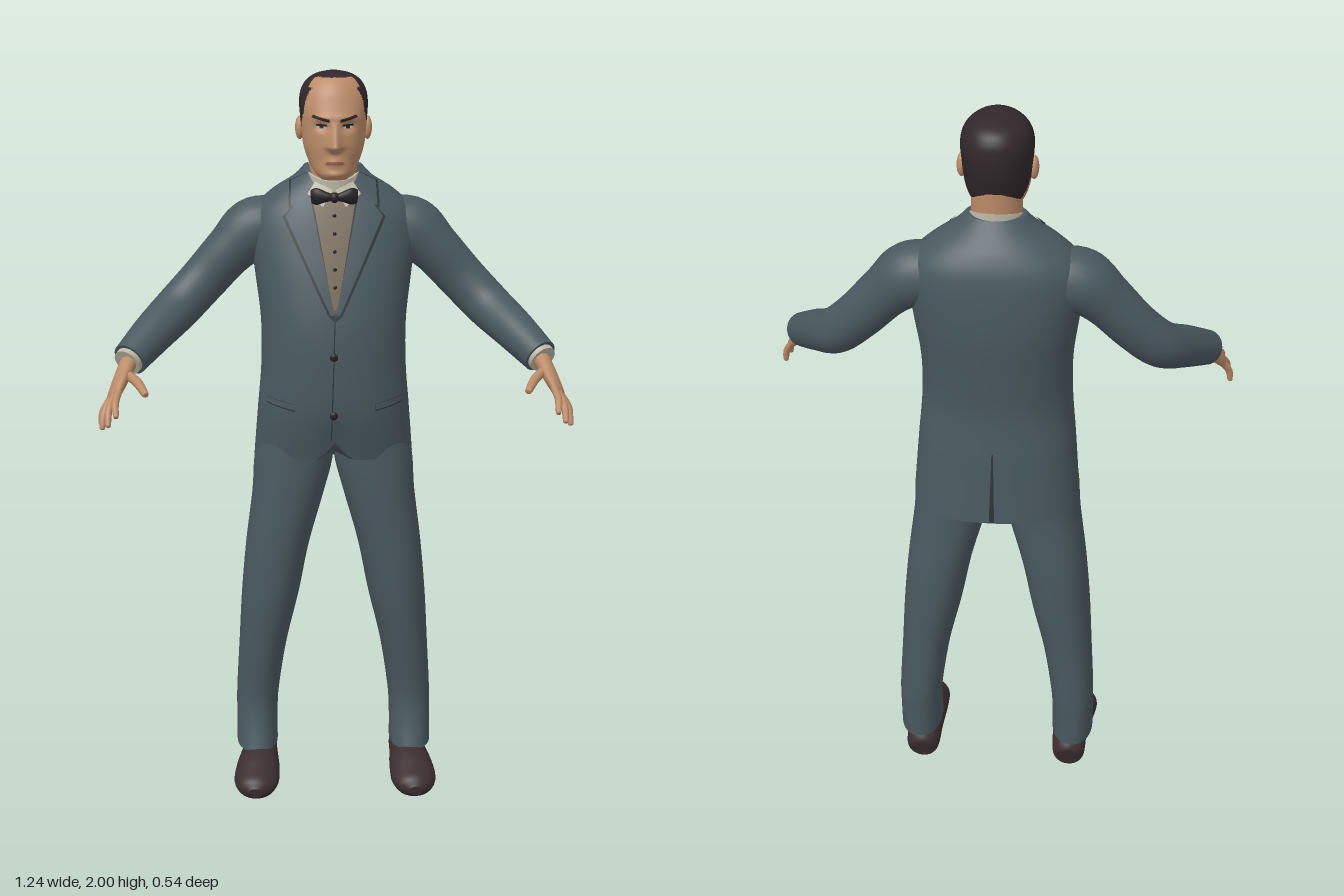
import * as THREE from 'three';

const V = (x, y, z) => new THREE.Vector3(x, y, z);
const mat = (name, color) => Object.assign(new THREE.MeshStandardMaterial({ color }), { name });
const M = {
  suit: mat('suit', 0x4a595f), seam: mat('dark seam', 0x2c363a), vest: mat('waistcoat', 0x756a58),
  shirt: mat('shirt', 0xbab5a4), skin: mat('skin', 0xbc8c69), hair: mat('hair', 0x30272a),
  shoe: mat('shoe', 0x3c2e2e), black: mat('black', 0x262124), lip: mat('lip', 0x8c5c49),
};

// Catmull-Rom interpolation of rows of numbers
function smooth(keys, n) {
  const out = [], m = keys.length - 1, at = i => keys[Math.min(m, Math.max(0, i))];
  for (let k = 0; k <= n; k++) {
    const i = Math.min(m - 1, Math.floor(k / n * m)), t = k / n * m - i;
    const [p, q, r, s] = [at(i - 1), at(i), at(i + 1), at(i + 2)];
    out.push(q.map((b, c) => b + 0.5 * t * (r[c] - p[c] +
      t * (2 * p[c] - 5 * b + 4 * r[c] - s[c] + t * (3 * (b - r[c]) + s[c] - p[c])))));
  }
  return out;
}

// Skin over rings of points, with flat caps at both ends
function loft(rings) {
  const n = rings[0].length, pos = [], idx = [];
  rings.forEach(r => r.forEach(p => pos.push(p.x, p.y, p.z)));
  for (let i = 0; i < rings.length - 1; i++) for (let j = 0; j < n; j++) {
    const a = i * n + j, b = i * n + (j + 1) % n;
    idx.push(a, b, a + n, b, b + n, a + n);
  }
  [rings[0], rings.at(-1)].forEach((r, end) => {
    const c = r.reduce((s, p) => s.add(p), V(0, 0, 0)).divideScalar(n), base = pos.length / 3;
    [c, ...r].forEach(p => pos.push(p.x, p.y, p.z));
    for (let j = 0; j < n; j++) {
      const a = base + 1 + j, b = base + 1 + (j + 1) % n;
      end ? idx.push(base, a, b) : idx.push(base, b, a);
    }
  });
  return finish(pos, idx);
}

function finish(pos, idx) {
  const g = new THREE.BufferGeometry();
  g.setAttribute('position', new THREE.Float32BufferAttribute(pos, 3));
  g.setIndex(idx);
  g.computeVertexNormals();
  return g;
}

const pw = (v, e) => Math.sign(v) * Math.abs(v) ** (2 / e);

// Upright body from rows [y, centreX, halfWidth, zFront, zBack, exponent]
function body(rows, seg, rule = p => p) {
  return loft(rows.map(([y, cx, hw, zf, zb, e]) => Array.from({ length: seg }, (_, j) => {
    const a = j / seg * Math.PI * 2;
    return rule(V(cx + hw * pw(Math.sin(a), e), y, (zf + zb) / 2 + (zf - zb) / 2 * pw(Math.cos(a), e)));
  })));
}

// Limb along a path from keys [x, y, z, radiusTowardsRef, radiusAcross]
function limb(keys, ref, n = 24, seg = 20, rule = p => p) {
  const rows = smooth(keys, n), P = rows.map(r => V(r[0], r[1], r[2]));
  return loft(rows.map((r, i) => {
    const t = P[Math.min(n, i + 1)].clone().sub(P[Math.max(0, i - 1)]).normalize();
    const u = ref.clone().addScaledVector(t, -t.dot(ref)).normalize(), v = t.clone().cross(u);
    return Array.from({ length: seg }, (_, j) => {
      const a = j / seg * Math.PI * 2;
      return rule(P[i].clone().addScaledVector(u, Math.max(0.001, r[3]) * Math.cos(a))
        .addScaledVector(v, Math.max(0.001, r[4]) * Math.sin(a)));
    });
  }));
}

// Depth of a body's front (side 1) or back (side -1) surface
function depth(rows, x, y, side) {
  let i = rows.findIndex(r => r[0] > y);
  i = i < 0 ? rows.length - 1 : Math.max(1, i);
  const a = rows[i - 1], b = rows[i], t = THREE.MathUtils.clamp((y - a[0]) / (b[0] - a[0]), 0, 1);
  const [, cx, hw, zf, zb, e] = a.map((v, k) => v + (b[k] - v) * t);
  const f = Math.max(0, 1 - Math.min(1, Math.abs((x - cx) / hw)) ** e) ** (1 / e);
  return (zf + zb) / 2 + side * (zf - zb) / 2 * f;
}

// Thin four-cornered patch lying on a surface z = surf(x, y)
function patch(c, surf, off, side = 1, n = 10) {
  const pos = [], idx = [], mix = (a, b, t) => a + (b - a) * t;
  const area = c.reduce((s, p, i) => s + p[0] * c[(i + 1) % 4][1] - c[(i + 1) % 4][0] * p[1], 0);
  for (let i = 0; i <= n; i++) for (let j = 0; j <= n; j++) {
    const [x, y] = [0, 1].map(k => mix(mix(c[0][k], c[1][k], j / n), mix(c[3][k], c[2][k], j / n), i / n));
    pos.push(x, y, surf(x, y) + off * side);
    if (i < n && j < n) {
      const a = i * (n + 1) + j, b = a + 1, d = a + n + 1, e = d + 1;
      area * side > 0 ? idx.push(a, b, d, b, e, d) : idx.push(a, d, b, b, d, e);
    }
  }
  return finish(pos, idx);
}

function mirror(g) {
  const m = g.clone().scale(-1, 1, 1), ix = m.index.array;
  for (let i = 0; i < ix.length; i += 3) [ix[i], ix[i + 1]] = [ix[i + 1], ix[i]];
  m.computeVertexNormals();
  return m;
}

export function createModel() {
  const root = new THREE.Group();
  const add = (name, g, m) => { const o = new THREE.Mesh(g, m); o.name = name; root.add(o); return o; };
  const pair = (name, g, m) => { add(name + 'Left', g, m); add(name + 'Right', mirror(g), m); };
  const ball = (r, sx, sy, sz, x, y, z) => new THREE.SphereGeometry(r, 20, 14).scale(sx, sy, sz).translate(x, y, z);

  // Jacket, with a lower back hem and a small cut-away at the front
  const torso = smooth([
    [0.97, 0, 0.218, 0.035, -0.262, 2.4], [1.1, 0, 0.206, 0.064, -0.25, 2.4], [1.22, 0, 0.196, 0.071, -0.242, 2.3],
    [1.34, 0, 0.196, 0.066, -0.252, 2.3], [1.46, 0, 0.21, 0.042, -0.264, 2.3], [1.56, 0, 0.222, 0.012, -0.263, 2.3],
    [1.63, 0, 0.212, -0.012, -0.254, 2.3], [1.68, 0, 0.165, -0.032, -0.232, 2.2], [1.72, 0, 0.105, -0.05, -0.2, 2.1],
    [1.75, 0, 0.076, -0.07, -0.178, 2]], 72);
  add('jacket', body(torso, 72, p => {
    const low = Math.max(0, 1 - (p.y - 0.97) / 0.13);
    if (p.z > -0.1) p.y += low * 0.05 * Math.exp(-((p.x / 0.03) ** 2));
    p.y -= low * 0.06 * THREE.MathUtils.smoothstep(-p.z, 0.05, 0.22);
    return p;
  }), M.suit);
  const front = (x, y) => depth(torso, x, y, 1), back = (x, y) => depth(torso, x, y, -1);

  // Waistcoat in the opening, lapels with dark edges, jacket closing line
  add('waistcoat', patch([[-0.004, 1.39], [0.004, 1.39], [0.075, 1.7], [-0.075, 1.7]], front, 0.003), M.vest);
  for (let i = 0; i < 5; i++) {
    const y = 1.45 + i * 0.045;
    add('waistcoatButton', ball(0.005, 1, 1, 0.5, 0, y, front(0, y) + 0.004), M.black);
  }
  pair('lapelEdge', patch([[0, 1.36], [0.018, 1.375], [0.136, 1.625], [0.062, 1.7]], front, 0.004), M.seam);
  pair('lapel', patch([[0.002, 1.38], [0.012, 1.378], [0.128, 1.628], [0.068, 1.7]], front, 0.008), M.suit);
  pair('collarEdge', patch([[0.062, 1.67], [0.12, 1.645], [0.118, 1.71], [0.07, 1.735]], front, 0.006), M.seam);
  pair('collar', patch([[0.064, 1.675], [0.113, 1.653], [0.112, 1.712], [0.068, 1.735]], front, 0.009), M.suit);
  add('closingLine', patch([[-0.012, 1.03], [-0.009, 1.03], [0.001, 1.38], [-0.002, 1.38]], front, 0.002), M.seam);
  for (const y of [1.267, 1.105])
    add('jacketButton', ball(0.011, 1, 1, 0.5, -0.004, y, front(0, y) + 0.003), M.black);
  pair('pocketEdge', patch([[0.108, 1.114], [0.182, 1.127], [0.182, 1.146], [0.108, 1.135]], front, 0.003), M.seam);
  pair('pocketFlap', patch([[0.108, 1.119], [0.184, 1.132], [0.184, 1.146], [0.108, 1.135]], front, 0.007), M.suit);
  add('backVent', patch([[-0.006, 0.915], [0.008, 0.915], [0.002, 1.12], [-0.002, 1.12]], back, 0.003, -1), M.seam);

  // Sleeves, shirt cuffs and cuff buttons
  const zAxis = V(0, 0, 1);
  pair('sleeve', limb([
    [0.13, 1.59, -0.14, 0.075, 0.07], [0.21, 1.575, -0.135, 0.08, 0.084], [0.276, 1.52, -0.126, 0.069, 0.069],
    [0.35, 1.44, -0.115, 0.058, 0.064], [0.418, 1.372, -0.082, 0.058, 0.062], [0.48, 1.322, -0.002, 0.055, 0.056],
    [0.54, 1.27, 0.085, 0.046, 0.047]], zAxis, 40, 28), M.suit);
  pair('shirtCuff', limb([[0.53, 1.279, 0.07, 0.04, 0.04], [0.546, 1.264, 0.095, 0.038, 0.038]], zAxis, 2), M.shirt);
  for (let i = 0; i < 3; i++)
    pair('cuffButton', ball(0.006, 1, 1, 1, 0.556 - i * 0.012, 1.281 + i * 0.011, 0.037 - i * 0.017), M.black);

  // Hands
  const across = V(-0.35, 0.4, 0.85);
  pair('palm', limb([[0.535, 1.274, 0.078, 0.026, 0.023], [0.55, 1.25, 0.112, 0.029, 0.021],
    [0.566, 1.218, 0.148, 0.037, 0.018], [0.578, 1.194, 0.176, 0.037, 0.013], [0.581, 1.187, 0.184, 0.02, 0.004]], across, 20), M.skin);
  const fingers = {
    indexFinger: [[0.563, 1.213, 0.196], [0.569, 1.193, 0.235], [0.566, 1.166, 0.266]],
    middleFinger: [[0.573, 1.204, 0.185], [0.587, 1.172, 0.224], [0.588, 1.138, 0.25]],
    ringFinger: [[0.582, 1.193, 0.169], [0.601, 1.157, 0.2], [0.606, 1.122, 0.217]],
    littleFinger: [[0.588, 1.184, 0.153], [0.607, 1.152, 0.168], [0.612, 1.121, 0.172]],
    thumb: [[0.545, 1.243, 0.132], [0.515, 1.232, 0.178], [0.493, 1.213, 0.223]],
  };
  for (const [name, [a, b, c]] of Object.entries(fingers)) {
    const r = name === 'thumb' ? 0.0125 : 0.0095, tip = c.map((v, k) => v + (c[k] - b[k]) * 0.08);
    pair(name, limb([[...a, r, r], [...b, r, r], [...c, r * 0.75, r * 0.75], [...tip, 0.002, 0.002]], V(-0.5, 0.7, 0.5), 15, 10), M.skin);
  }

  // Trousers and shoes
  pair('trouserLeg', body(smooth([
    [0.095, 0.219, 0.058, 0.0, -0.2, 2.2], [0.17, 0.219, 0.058, -0.022, -0.203, 2.2], [0.25, 0.216, 0.06, -0.03, -0.207, 2.2],
    [0.4, 0.2, 0.067, -0.01, -0.207, 2.2], [0.55, 0.178, 0.08, 0.01, -0.214, 2.2], [0.7, 0.156, 0.088, 0.018, -0.215, 2.2],
    [0.85, 0.126, 0.099, 0.022, -0.206, 2.2], [0.95, 0.11, 0.108, 0.022, -0.206, 2.2], [1.04, 0.1, 0.1, 0.02, -0.2, 2.2]], 48), 36), M.suit);
  pair('shoe', limb([
    [0.212, 0.045, -0.193, 0.02, 0.022], [0.212, 0.048, -0.175, 0.052, 0.045], [0.212, 0.052, -0.09, 0.058, 0.05],
    [0.217, 0.048, -0.01, 0.055, 0.06], [0.222, 0.035, 0.055, 0.041, 0.063], [0.224, 0.026, 0.095, 0.032, 0.048],
    [0.225, 0.023, 0.115, 0.014, 0.02]], V(0, 1, 0), 36, 28, p => { p.y = Math.max(0, p.y); return p; }), M.shoe);

  // Neck, shirt collar and bow tie
  add('neck', body(smooth([[1.65, 0, 0.068, -0.035, -0.168, 2], [1.73, 0, 0.064, -0.034, -0.17, 2],
    [1.82, 0, 0.064, -0.03, -0.175, 2]], 12), 36), M.skin);
  add('shirtCollar', body([[1.68, 0, 0.08, -0.028, -0.18, 2], [1.742, 0, 0.07, -0.028, -0.176, 2]], 40,
    p => { p.y -= (p.z + 0.1) * 0.35; return p; }), M.shirt);
  pair('collarPoint', patch([[0.004, 1.695], [0.03, 1.652], [0.07, 1.685], [0.05, 1.715]], front, 0.011), M.shirt);
  pair('bowWing', limb([[0, 1.678, -0.01, 0.008, 0.008], [0.02, 1.679, -0.01, 0.013, 0.01], [0.045, 1.68, -0.014, 0.022, 0.011],
    [0.06, 1.679, -0.018, 0.018, 0.007]], V(0, 1, 0), 16), M.black);
  add('bowKnot', ball(0.014, 0.9, 1, 0.9, 0, 1.678, -0.006), M.black);

  // Head: nose, sockets, brow, lips and chin pushed out by rule
  const headRows = smooth([
    [1.727, 0, 0.034, 0.02, -0.05, 2.1], [1.745, 0, 0.053, 0.029, -0.1, 2.1], [1.775, 0, 0.069, 0.027, -0.15, 2.2],
    [1.81, 0, 0.08, 0.03, -0.17, 2.2], [1.85, 0, 0.085, 0.03, -0.183, 2.2], [1.885, 0, 0.088, 0.029, -0.19, 2.2],
    [1.92, 0, 0.09, 0.018, -0.191, 2.2], [1.95, 0, 0.085, 0.006, -0.186, 2.1], [1.975, 0, 0.07, -0.012, -0.168, 2],
    [1.992, 0, 0.044, -0.035, -0.13, 2], [2.0, 0, 0.01, -0.065, -0.09, 2]], 90);
  const bell = (x, y, cx, cy, sx, sy) => Math.exp(-(((x - cx) / sx) ** 2) - ((y - cy) / sy) ** 2);
  const relief = (x, y) => {
    const ax = Math.abs(x), nose = y > 1.814 ? Math.max(0, (1.882 - y) / 0.068) : Math.max(0, (y - 1.796) / 0.018);
    return 0.038 * nose * Math.exp(-((x / (0.009 + 0.008 * nose)) ** 2)) - 0.01 * bell(ax, y, 0.034, 1.865, 0.018, 0.012)
      + 0.004 * bell(ax, y, 0.03, 1.888, 0.03, 0.008) + 0.006 * bell(x, y, 0, 1.772, 0.022, 0.012) + 0.006 * bell(x, y, 0, 1.742, 0.025, 0.01);
  };
  const head = body(headRows, 110, p => {
    p.z += relief(p.x, p.y) * THREE.MathUtils.clamp((p.z + 0.03) / 0.03, 0, 1);
    return p;
  });
  // Receding hairline: triangles behind it become the hair group
  const hairline = (x, y) => y > 1.9 ? -0.025 - 0.025 * Math.exp(-(((Math.abs(x) - 0.05) / 0.02) ** 2)) * (y > 1.96 ? 1 : 0)
    : y > 1.83 ? -0.025 - (1.9 - y) * 0.75 : y > 1.775 ? -0.105 - (1.83 - y) * 0.5 : -9;
  const P = head.attributes.position, skinIdx = [], hairIdx = [];
  for (let i = 0; i < head.index.count; i += 3) {
    const t = [0, 1, 2].map(k => head.index.getX(i + k));
    const [x, y, z] = ['getX', 'getY', 'getZ'].map(f => t.reduce((s, k) => s + P[f](k) / 3, 0));
    (z < hairline(x, y) ? hairIdx : skinIdx).push(...t);
  }
  head.setIndex([...skinIdx, ...hairIdx]);
  head.addGroup(0, skinIdx.length, 0);
  head.addGroup(skinIdx.length, hairIdx.length, 1);
  add('head', head, [M.skin, M.hair]);

  // Ears, eyes, brows and mouth
  pair('ear', ball(1, 0.012, 0.031, 0.019, 0.089, 1.852, -0.078).rotateX(0), M.skin);
  const face = (x, y) => depth(headRows, x, y, 1) + relief(x, y);
  pair('eyeWhite', patch([[0.02, 1.863], [0.034, 1.859], [0.049, 1.865], [0.034, 1.871]], face, 0.002), M.shirt);
  pair('iris', patch([[0.029, 1.861], [0.039, 1.861], [0.039, 1.87], [0.029, 1.87]], face, 0.003), M.black);
  pair('upperLid', patch([[0.018, 1.867], [0.05, 1.868], [0.047, 1.873], [0.022, 1.872]], face, 0.0035), M.hair);
  pair('eyebrow', patch([[0.014, 1.877], [0.06, 1.889], [0.056, 1.896], [0.014, 1.885]], face, 0.003), M.hair);
  add('mouth', patch([[-0.026, 1.768], [0.026, 1.768], [0.02, 1.777], [-0.02, 1.777]], face, 0.002), M.lip);
  return root;
}
